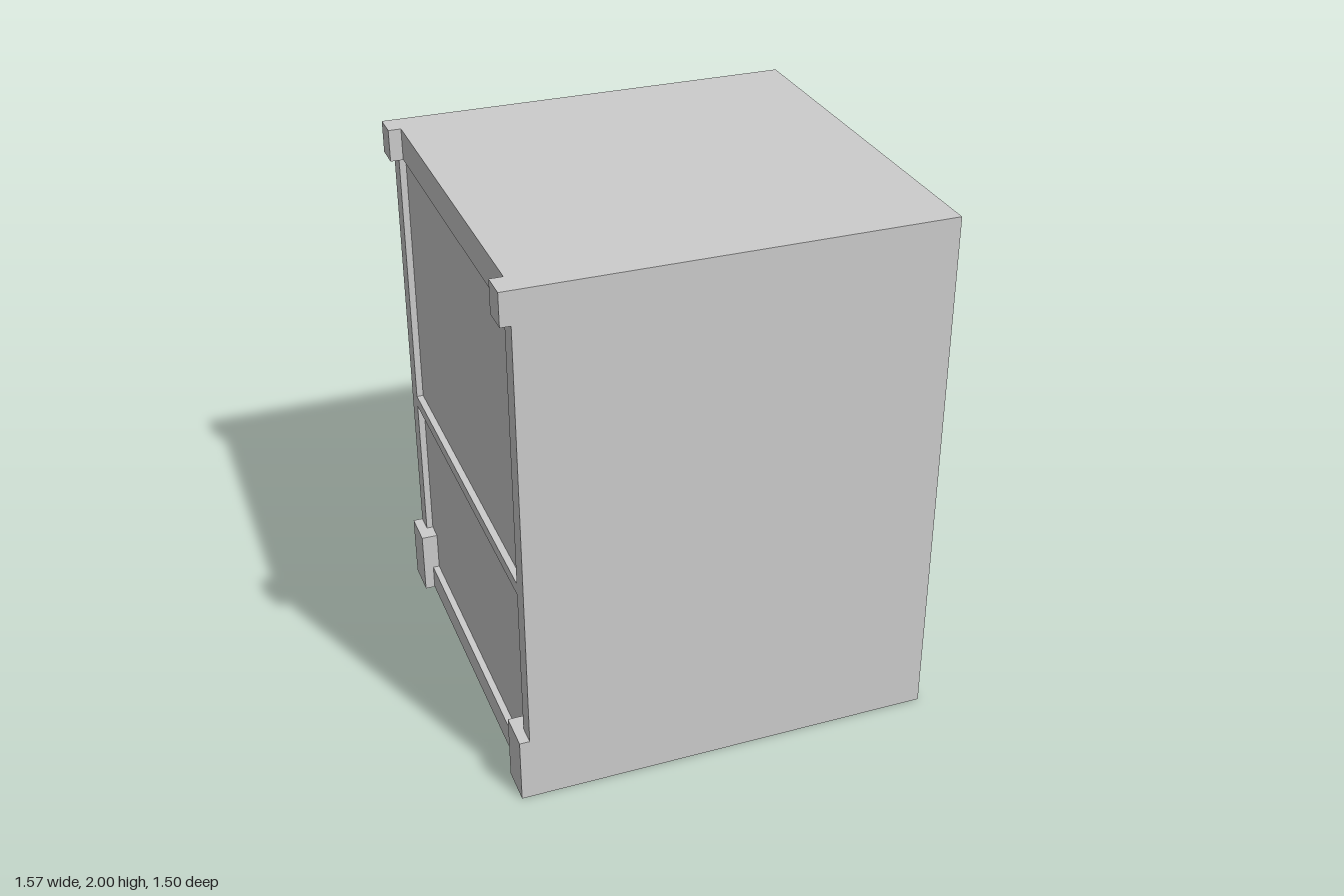
import * as THREE from 'three';

const material = new THREE.MeshStandardMaterial({ color: 0xcccccc, flatShading: true });

// Box given by its minimum and maximum corners
function addBox(group, name, [x0, y0, z0], [x1, y1, z1]) {
  const mesh = new THREE.Mesh(new THREE.BoxGeometry(x1 - x0, y1 - y0, z1 - z0), material);
  mesh.position.set((x0 + x1) / 2, (y0 + y1) / 2, (z0 + z1) / 2);
  mesh.name = name;
  group.add(mesh);
}

export function createModel() {
  const group = new THREE.Group();
  group.name = 'cabinet';
  const panelX = -0.725, frameX = -0.75, outerX = -0.787;
  const halfZ = 0.75, postZ = 0.675;

  // Main body; its -x side is the recessed panel
  addBox(group, 'body', [panelX, 0, -halfZ], [0.785, 2, halfZ]);

  // Rails across the panelled side
  addBox(group, 'topRail', [-0.74, 1.88, -postZ], [panelX, 2, postZ]);
  addBox(group, 'middleRail', [frameX, 0.828, -postZ], [panelX, 0.873, postZ]);
  addBox(group, 'bottomRail', [frameX, 0, -postZ], [panelX, 0.098, postZ]);

  // Corner posts with a cap on top and a wider foot, mirrored front to back
  for (const [side, s] of [['front', 1], ['back', -1]]) {
    const addCorner = (name, x, y0, y1, innerZ) => addBox(group, side + name,
      [x, y0, Math.min(s * innerZ, s * halfZ)], [panelX, y1, Math.max(s * innerZ, s * halfZ)]);
    addCorner('Post', frameX, 0.25, 1.88, postZ);
    addCorner('Cap', outerX, 1.88, 2, 0.65);
    addCorner('Foot', outerX, 0, 0.25, 0.608);
  }
  return group;
}
